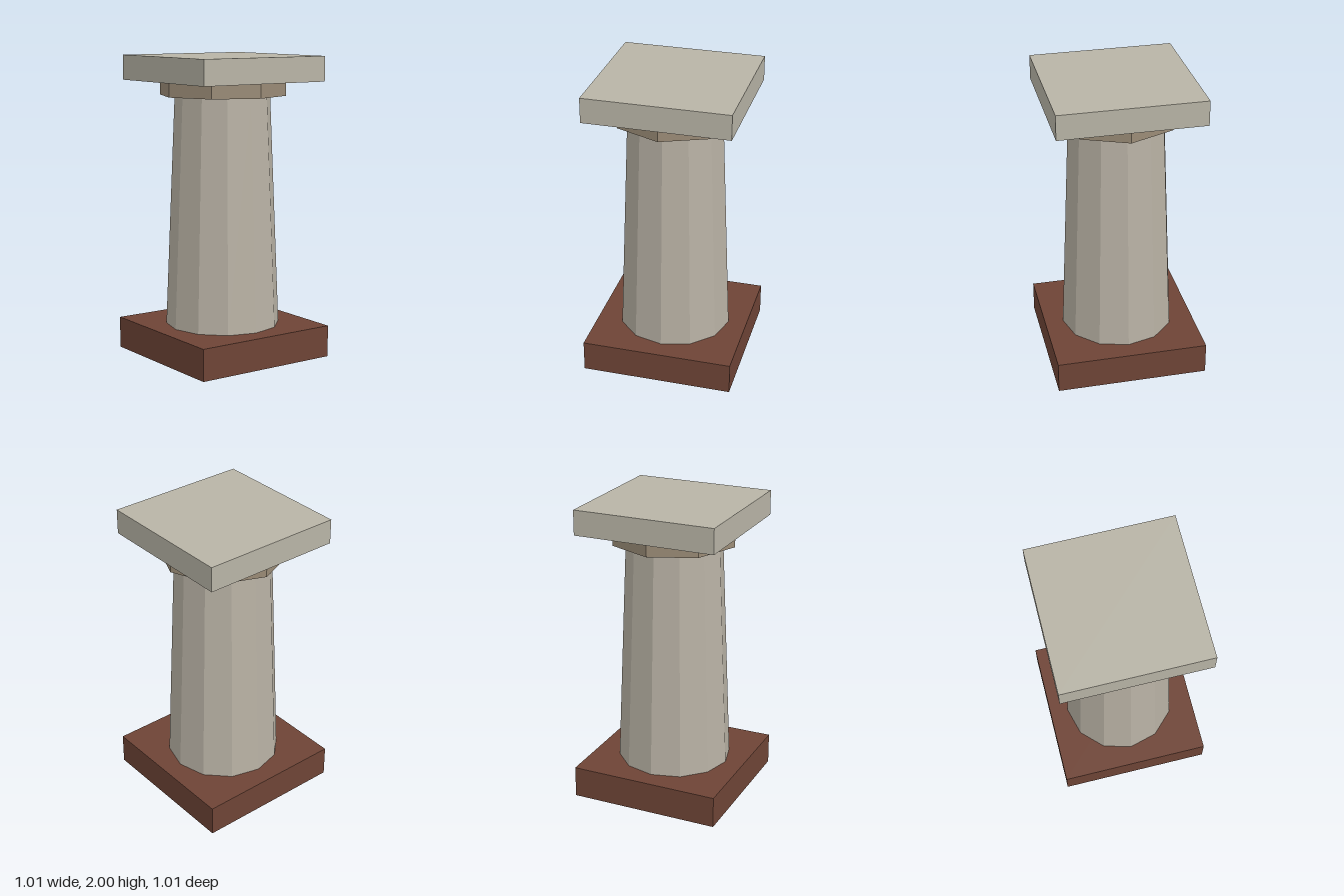
import * as THREE from 'three';

const material = (name, color, flatShading = false) => {
  const m = new THREE.MeshStandardMaterial({ color, flatShading });
  m.name = name;
  return m;
};

export function createModel() {
  const brick = material('brownBrick', 0x6e4436);
  const stone = material('paleStone', 0xb8b1a4, true);
  const collarStone = material('tanStone', 0x9a8b76, true);
  const capStone = material('greyStone', 0xb8b4a6);

  const group = new THREE.Group();
  group.name = 'pillar';

  // Adds a part spanning the heights y0 to y1
  const add = (name, geometry, mat, y0, y1) => {
    const mesh = new THREE.Mesh(geometry, mat);
    mesh.name = name;
    mesh.position.y = (y0 + y1) / 2;
    group.add(mesh);
  };
  const slab = (name, width, mat, y0, y1) =>
    add(name, new THREE.BoxGeometry(width, y1 - y0, width), mat, y0, y1);
  const drum = (name, top, bottom, sides, mat, y0, y1) =>
    add(name, new THREE.CylinderGeometry(top, bottom, y1 - y0, sides), mat, y0, y1);

  // Square plinth, tapered twelve-sided shaft, octagonal collar, square cap
  slab('plinth', 1.01, brick, 0, 0.21);
  drum('shaft', 0.316, 0.38, 12, stone, 0.21, 1.74);
  drum('collar', 0.42, 0.42, 8, collarStone, 1.74, 1.835);
  slab('cap', 0.95, capStone, 1.835, 2);

  return group;
}
